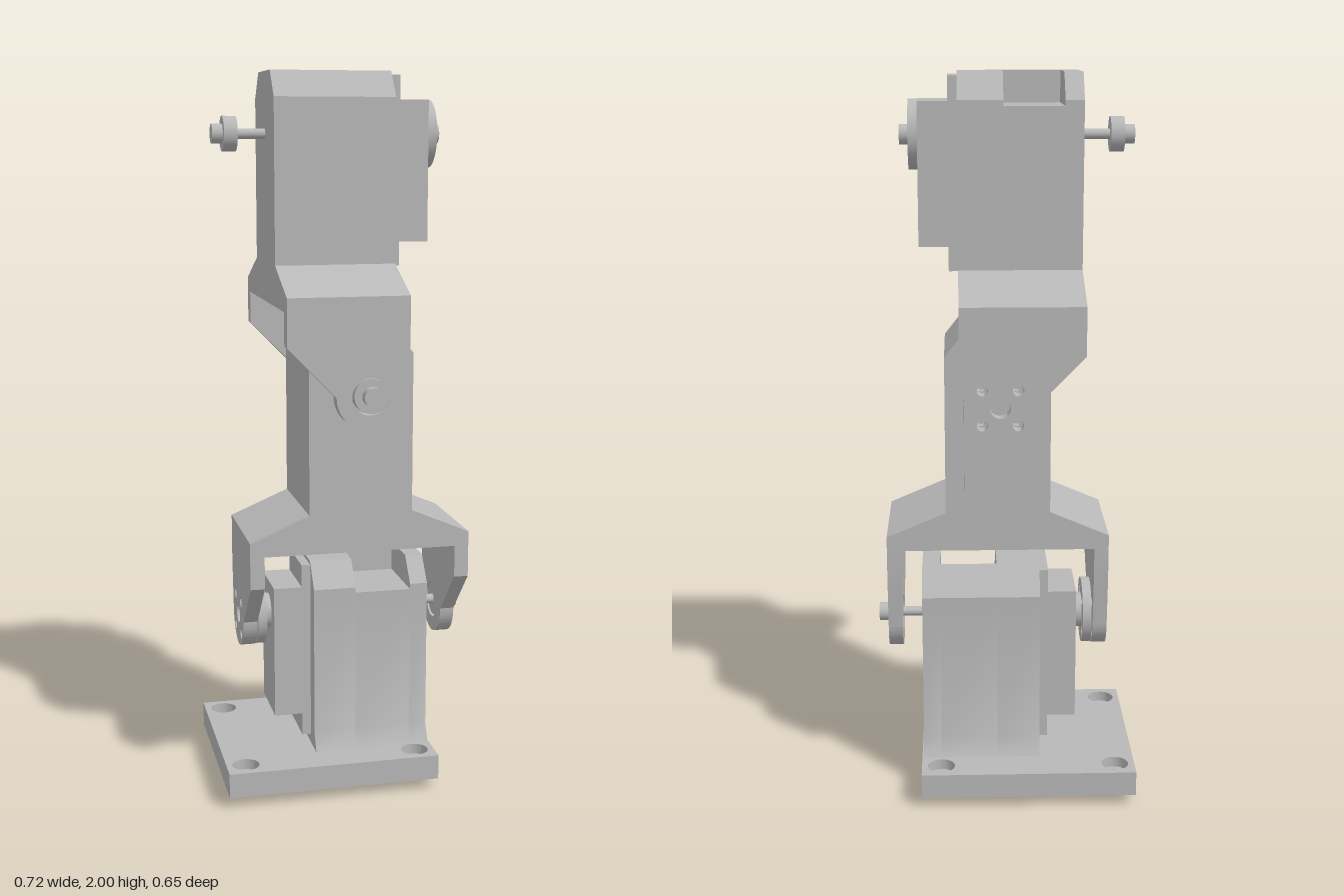
import * as THREE from 'three';
import { toCreasedNormals } from 'three/addons/utils/BufferGeometryUtils.js';

const grey = new THREE.MeshStandardMaterial({ color: 0xb8b8b8 });
grey.name = 'plain grey';

function add(group, name, geometry) {
  const mesh = new THREE.Mesh(geometry, grey);
  mesh.name = name;
  group.add(mesh);
  return mesh;
}

function box(group, name, [x0, x1], [y0, y1], [z0, z1]) {
  const g = new THREE.BoxGeometry(x1 - x0, y1 - y0, z1 - z0);
  add(group, name, g.translate((x0 + x1) / 2, (y0 + y1) / 2, (z0 + z1) / 2));
}

// cylinder lying along x
function rod(group, name, x0, x1, r) {
  const g = new THREE.CylinderGeometry(r, r, x1 - x0, 40);
  add(group, name, g.rotateZ(Math.PI / 2).translate((x0 + x1) / 2, 0, 0));
}

const polygon = (points) => new THREE.Shape(points.map(([a, b]) => new THREE.Vector2(a, b)));

function punch(shape, x, y, r) {
  shape.holes.push(new THREE.Path().absarc(x, y, r, 0, Math.PI * 2, true));
}

function extrude(shape, depth) {
  const g = new THREE.ExtrudeGeometry(shape, { depth, bevelEnabled: false, curveSegments: 24 });
  return toCreasedNormals(g, 0.5);
}

// four small screw holes around a centre
function screwHoles(shape, x, y) {
  for (const sx of [-1, 1]) for (const sy of [-1, 1]) punch(shape, x + sx * 0.047, y + sy * 0.047, 0.015);
}

// housing with a notch in the rear of its top; "foot" is the lower half outline, as (z, y)
function housing(group, foot) {
  const lower = [...foot.map(([z, y]) => [-z, y]).reverse(), ...foot];
  const full = [...lower, [0.145, 0.095], [0.09, 0.165], [-0.09, 0.165], [-0.145, 0.095]];
  const notched = [...lower, [0.145, 0.095], [0.09, 0.165], [0.062, 0.165], [0.062, 0.08], [-0.145, 0.08]];
  // runs from upper left corner, down, across and up
  const slabs = [[-0.165, -0.115, full], [-0.115, 0.045, notched], [0.045, 0.165, full]];
  for (const [x0, x1, outline] of slabs) {
    add(group, 'housing', extrude(polygon(outline), x1 - x0).rotateY(-Math.PI / 2).translate(x1, 0, 0));
  }
}

// motor, output horn and rear axle, centred on the joint axis
function motor(group, shift) {
  box(group, 'motorFlange', [0.165, 0.19], [-0.355, 0.155], [-0.093, 0.093]);
  box(group, 'motorBody', [0.19, 0.27], [-0.29, 0.09], [-0.093, 0.093]);
  if (shift > 0) rod(group, 'hornNeck', 0.27, 0.27 + shift, 0.05);
  const disc = new THREE.Shape().absarc(0, 0, 0.093, 0, Math.PI * 2, false);
  screwHoles(disc, 0, 0);
  add(group, 'horn', extrude(disc, 0.025).rotateY(Math.PI / 2).translate(0.27 + shift, 0, 0));
  rod(group, 'hornShaft', 0.295 + shift, 0.32 + shift, 0.027);
  rod(group, 'rearAxle', -0.245 + shift, -0.15, 0.0136);
  rod(group, 'rearBearing', -0.282 + shift, -0.245 + shift, 0.047);
  rod(group, 'rearNub', -0.311 + shift, -0.282 + shift, 0.026);
}

// fork legs that hold the joint below
function fork(group) {
  const px = 0.058, py = -0.68, r = 0.092;
  for (const side of [-1, 1]) {
    const leg = polygon([[0.165, -0.455], [-0.165, -0.455], [-0.165, -0.545], [px - r, py]]);
    leg.absarc(px, py, r, Math.PI, Math.PI * 2, false);
    leg.lineTo(0.165, -0.545);
    if (side < 0) {
      punch(leg, px, py, 0.028);
      screwHoles(leg, px, py);
    } else {
      punch(leg, px, py, 0.05);
    }
    add(group, side < 0 ? 'hornLeg' : 'bearingLeg', extrude(leg, 0.04).translate(0, 0, side < 0 ? -0.31 : 0.27));
  }
}

function segment(name, [x, y, z], turn, hasFork, shift) {
  const group = new THREE.Group();
  group.name = name;
  const foot = hasFork
    ? [[0.31, -0.455], [0.31, -0.415], [0.145, -0.345]]
    : [[0.172, -0.38], [0.145, -0.33]];
  housing(group, foot);
  motor(group, shift);
  if (hasFork) fork(group);
  group.position.set(x, y, z);
  group.rotation.y = turn;
  return group;
}

function base() {
  const group = new THREE.Group();
  group.name = 'base';
  // plate in two layers: through holes below, wider counterbores above
  for (const [y, height, r] of [[0.03, 0.04, 0.021], [0.07, 0.03, 0.038]]) {
    const plate = polygon([[-0.362, -0.225], [0.238, -0.225], [0.238, 0.32], [-0.362, 0.32]]);
    for (const x of [-0.307, 0.183]) for (const z of [-0.264, 0.168]) punch(plate, x, -z, r);
    add(group, 'basePlate', extrude(plate, height).rotateX(-Math.PI / 2).translate(0, y, 0));
  }
  box(group, 'basePad', [-0.257, 0.133], [0, 0.03], [-0.19, 0.105]);
  return group;
}

export function createModel() {
  const model = new THREE.Group();
  model.name = 'robotArm';
  model.add(
    base(),
    segment('lowerSegment', [0.068, 0.48, -0.042], Math.PI, false, 0.02),
    segment('middleSegment', [0.02, 1.157, 0.015], Math.PI / 2, true, 0),
    segment('upperSegment', [-0.04, 1.835, -0.017], 0, true, 0),
  );
  return model;
}
